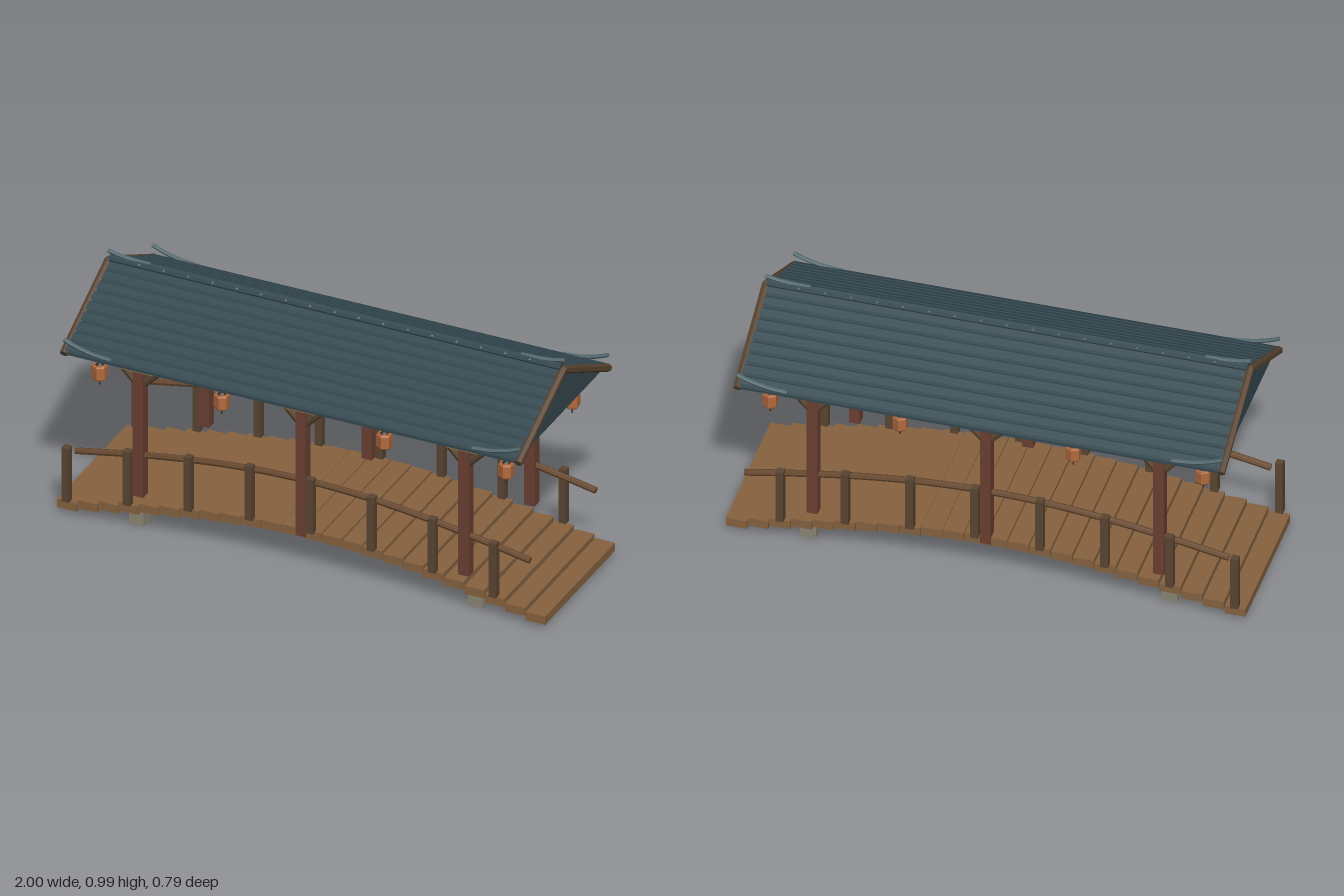
import * as THREE from 'three';

const mat = (name, color, extra = {}) => {
  const m = new THREE.MeshStandardMaterial({ color, flatShading: true, ...extra });
  m.name = name;
  return m;
};

export function createModel() {
  const model = new THREE.Group();
  model.name = 'coveredBridge';
  const deckWood = mat('deck wood', 0x86623f);
  const pillarRed = mat('red pillar wood', 0x6b3f31);
  const darkWood = mat('dark wood', 0x5a4532);
  const railWood = mat('rail wood', 0x67482e);
  const paleWood = mat('pale wood', 0x98783f);
  const tile = mat('roof tile', 0x344850);
  const trim = mat('tile trim', 0x556a70);
  const orange = mat('lantern orange', 0xb0693c);
  const iron = mat('lantern iron', 0x3a2c22);
  const stone = mat('stone', 0x8a8675);

  const add = (name, geo, material, x = 0, y = 0, z = 0) => {
    const m = new THREE.Mesh(geo, material);
    m.name = name;
    m.position.set(x, y, z);
    model.add(m);
    return m;
  };
  const box = (name, w, h, d, material, x, y, z) =>
    add(name, new THREE.BoxGeometry(w, h, d), material, x, y, z);
  // Round bar between two points
  const bar = (name, a, b, r, sides, material) => {
    const p = new THREE.Vector3(...a), q = new THREE.Vector3(...b);
    const dir = q.clone().sub(p);
    const m = add(name, new THREE.CylinderGeometry(r, r, dir.length(), sides), material);
    m.position.copy(p).add(q).multiplyScalar(0.5);
    m.quaternion.setFromUnitVectors(new THREE.Vector3(0, 1, 0), dir.normalize());
    return m;
  };
  const deckTop = x => 0.055 + 0.125 * Math.cos(x * Math.PI / 2);
  const sideZ = 0.283;

  // Arched deck of overlapping planks
  const planks = 24;
  for (let i = 0; i < planks; i++) {
    const t = i / (planks - 1), x = -0.96 + 1.92 * t;
    box('deckPlank', 0.08, 0.035, 0.6, deckWood, x, 0.0375 + 0.125 * Math.sin(Math.PI * t), 0);
  }

  // Footings under the deck
  for (const x of [-0.695, 0.695])
    for (const z of [-0.23, 0.23]) box('footing', 0.06, 0.08, 0.06, stone, x, 0.04, z);

  const lanternProfile = [[0, -0.03], [0.026, -0.03], [0.03, -0.024], [0.03, 0.024], [0.026, 0.03], [0, 0.03]]
    .map(([r, y]) => new THREE.Vector2(r, y));

  for (const s of [-1, 1]) {
    const z = s * sideZ;

    // Pillars with bracket blocks and diagonal struts
    for (const x of [-0.667, 0, 0.667]) {
      box('pillar', 0.042, 0.55, 0.042, pillarRed, x, 0.425, z);
      box('bracketLower', 0.13, 0.032, 0.066, paleWood, x, 0.706, z);
      box('bracketUpper', 0.18, 0.023, 0.082, deckWood, x, 0.7335, z);
      for (const d of [-1, 1])
        bar('bracketStrut', [x + d * 0.012, 0.63, z], [x + d * 0.1, 0.722, z], 0.018, 8, darkWood);
    }

    // Railing posts and curved handrail
    for (let i = 0; i < 8; i++) {
      const x = -0.96 + i * 0.25;
      box('railPost', 0.03, 0.23, 0.03, darkWood, x, deckTop(x) + 0.112, s * 0.3);
    }
    const railPoints = [];
    for (let i = 0; i <= 12; i++) {
      const x = -0.93 + 1.86 * i / 12;
      railPoints.push(new THREE.Vector3(x, deckTop(x) + 0.202, z));
    }
    const railCurve = new THREE.CatmullRomCurve3(railPoints);
    add('handrail', new THREE.TubeGeometry(railCurve, 24, 0.013, 8), railWood);
    for (const e of [-1, 1])
      bar('handrailEnd', [e * 0.925, deckTop(0.925) + 0.202, z], [e * 0.931, deckTop(0.931) + 0.202, z], 0.013, 8, railWood);

    // Hanging lanterns
    for (const x of [-0.833, -0.333, 0.333, 0.833]) {
      add('lantern', new THREE.LatheGeometry(lanternProfile, 6), orange, x, 0.636, z);
      add('lanternCap', new THREE.CylinderGeometry(0.01, 0.018, 0.008, 6), iron, x, 0.67, z);
      add('lanternBase', new THREE.CylinderGeometry(0.018, 0.01, 0.008, 6), iron, x, 0.602, z);
      add('lanternCord', new THREE.CylinderGeometry(0.003, 0.003, 0.12, 5), iron, x, 0.64, z);
    }

    // Roof slope with stepped tile courses, extruded along x
    const rows = 9, shape = new THREE.Shape();
    const at = (t, lift) => [s * 0.388 * t, 0.942 - 0.19 * t + lift];
    shape.moveTo(...at(0, -0.014));
    for (let i = 0; i < rows; i++) {
      shape.lineTo(...at(i / rows, 0));
      shape.lineTo(...at((i + 0.25) / rows, 0.008));
      shape.lineTo(...at((i + 0.9) / rows, 0.008));
    }
    shape.lineTo(...at(1, 0));
    shape.lineTo(...at(1, -0.012));
    shape.closePath();
    const slope = new THREE.ExtrudeGeometry(shape, { depth: 1.85, bevelEnabled: false });
    slope.translate(0, 0, -0.925);
    slope.rotateY(-Math.PI / 2);
    add('roofSlope', slope, tile);

    for (const e of [-1, 1]) {
      // Barge poles along the gable edges
      bar('bargePole', [e * 0.931, 0.94, 0], [e * 0.931, 0.742, s * 0.388], 0.016, 6, darkWood);
      // Upturned eave corners
      const eave = new THREE.CatmullRomCurve3([[0.74, 0.757], [0.81, 0.763], [0.88, 0.779], [0.93, 0.798]]
        .map(([x, y]) => new THREE.Vector3(e * x, y, s * 0.382)));
      add('eaveUpturn', new THREE.TubeGeometry(eave, 8, 0.008, 6), trim);
      bar('eaveTip', [e * 0.924, 0.796, s * 0.382], [e * 0.934, 0.8, s * 0.382], 0.008, 6, trim);
    }
    // Small beads beside the ridge
    for (let i = 0; i < 17; i++)
      add('ridgeBead', new THREE.OctahedronGeometry(0.007), trim, -0.8 + i * 0.1, 0.957, s * 0.014);
  }

  // Ridge pole and its upturned ends
  bar('ridgePole', [-0.925, 0.95, 0], [0.925, 0.95, 0], 0.018, 8, tile);
  for (const e of [-1, 1]) {
    const end = new THREE.CatmullRomCurve3([[0.76, 0.962], [0.83, 0.964], [0.89, 0.97], [0.93, 0.979]]
      .map(([x, y]) => new THREE.Vector3(e * x, y, 0)));
    add('ridgeUpturn', new THREE.TubeGeometry(end, 8, 0.008, 6), trim);
    bar('ridgeTip', [e * 0.924, 0.9775, 0], [e * 0.934, 0.98, 0], 0.008, 6, trim);

    // Gable panel
    const tri = new THREE.Shape([[-0.37, 0.745], [0.37, 0.745], [0, 0.93]].map(p => new THREE.Vector2(...p)));
    const gable = new THREE.ExtrudeGeometry(tri, { depth: 0.01, bevelEnabled: false });
    gable.translate(0, 0, -0.005);
    gable.rotateY(Math.PI / 2);
    add('gable', gable, tile, e * 0.915, 0, 0);
  }
  return model;
}
